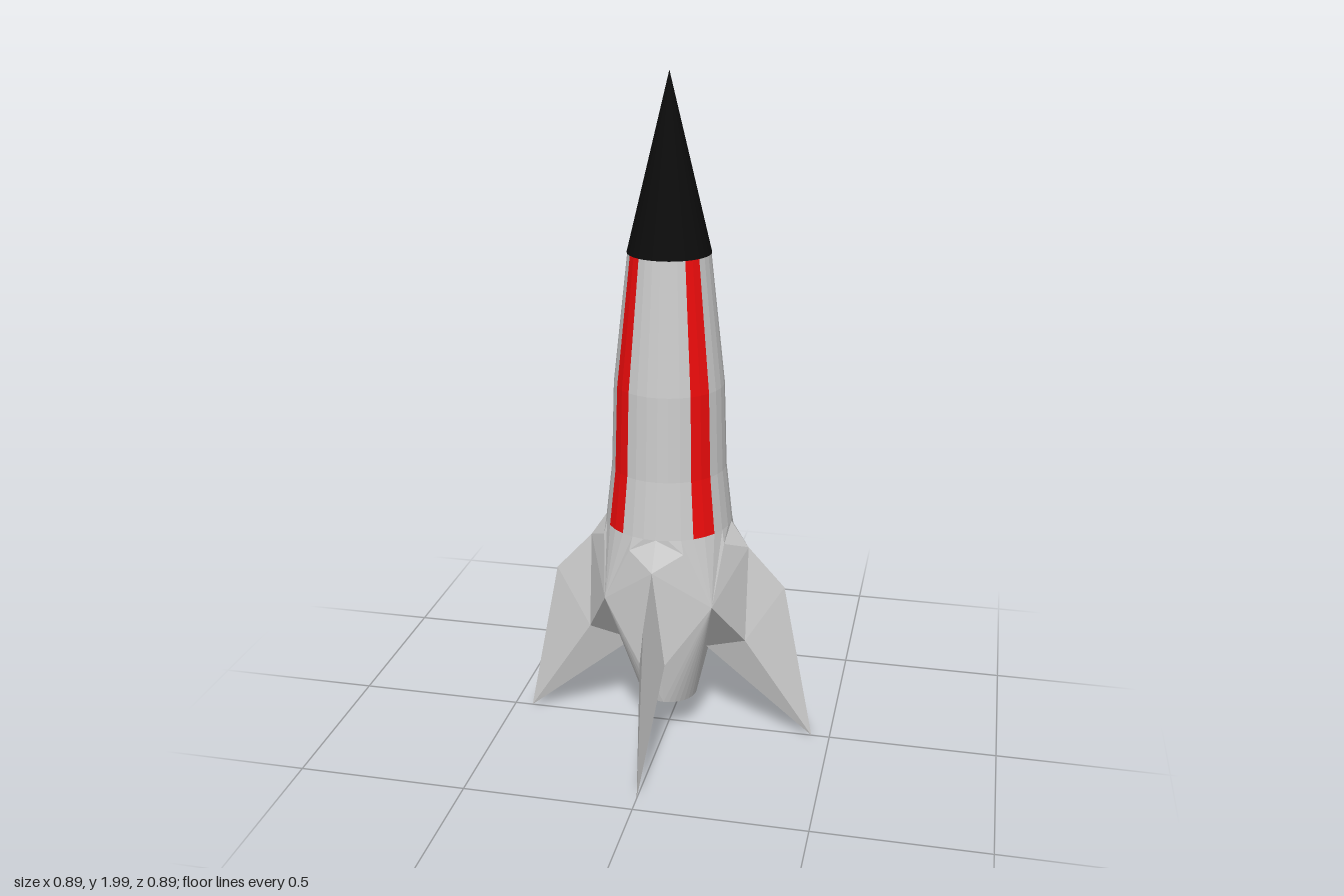
import * as THREE from 'three';

const mat = (color) => new THREE.MeshStandardMaterial({ color, flatShading: true });
const grey = mat(0xcccccc), red = mat(0xee0c0c), black = mat(0x0c0c0c), teal = mat(0x0a6468);
const STEP = Math.PI / 16; // the hull has 32 sides

const v = (x, y, z) => new THREE.Vector3(x, y, z);
const ring = (r, y) => [0, 1, 2, 3, 4].map((k) => v(r * Math.sin(k * STEP), y, r * Math.cos(k * STEP)));

// Triangles of one half quadrant, mirrored across x = 0
function mirrored(tris) {
  const pos = [];
  for (const [a, b, c] of tris) {
    for (const p of [a, b, c]) pos.push(p.x, p.y, p.z);
    for (const p of [a, c, b]) pos.push(-p.x, p.y, p.z);
  }
  const geo = new THREE.BufferGeometry();
  geo.setAttribute('position', new THREE.Float32BufferAttribute(pos, 3));
  geo.computeVertexNormals();
  return geo;
}

export function createModel() {
  const rocket = new THREE.Group();
  rocket.name = 'rocket';
  const add = (name, geo, material, parent = rocket) => {
    const mesh = new THREE.Mesh(geo, material);
    mesh.name = name;
    parent.add(mesh);
    return mesh;
  };

  // Nose cone
  add('noseCone', new THREE.ConeGeometry(0.12, 0.5, 32), black).position.y = 1.75;

  // Hull panels with a stripe on each diagonal
  const profile = [[0.187, 0.7], [0.168, 0.87], [0.16, 1.12], [0.118, 1.5]]
    .map(([r, y]) => new THREE.Vector2(r, y));
  for (let q = 0; q < 4; q++) {
    const start = 3 * STEP + q * Math.PI / 2;
    add('stripe', new THREE.LatheGeometry(profile, 2, start, 2 * STEP), red);
    add('hullPanel', new THREE.LatheGeometry(profile, 6, start + 2 * STEP, 6 * STEP), grey);
  }

  // Corner points of the tail, for the fin on +z
  const root = v(0, 0.62, 0.24), shoulder = v(0, 0.5, 0.35), tip = v(0, 0.01, 0.445);
  const side = v(0.037, 0.33, 0.24), inner = v(0, 0.28, 0.115);
  const diag = v(0.16, 0.49, 0.16), corner = v(0.08, 0.66, 0.18);
  const c = ring(0.187, 0.7), n = ring(0.085, 0.12);

  // Faceted skirt between the hull and the fins
  const skirt = mirrored([
    [c[0], corner, c[1]], [corner, c[2], c[1]], [corner, diag, c[2]],
    [diag, c[3], c[2]], [diag, c[4], c[3]],
    [c[0], root, corner], [root, diag, corner],
    [root, side, diag], [side, inner, diag],
  ]);
  // Swept fin
  const fin = mirrored([[root, shoulder, side], [shoulder, tip, side], [tip, inner, side]]);
  // Nozzle wall fanning down from the skirt
  const nozzle = mirrored([
    [diag, inner, n[0]],
    ...[0, 1, 2, 3].map((k) => [diag, n[k], n[k + 1]]),
  ]);

  for (let q = 0; q < 4; q++) {
    const tail = new THREE.Group();
    tail.name = 'tailQuarter';
    tail.rotation.y = q * Math.PI / 2;
    add('skirt', skirt, grey, tail);
    add('fin', fin, grey, tail);
    add('nozzleWall', nozzle, grey, tail);
    rocket.add(tail);
  }

  // Exhaust disc closing the nozzle
  const exhaust = add('exhaust', new THREE.CircleGeometry(0.085, 32), teal);
  exhaust.rotation.x = Math.PI / 2;
  exhaust.position.y = 0.12;

  return rocket;
}
